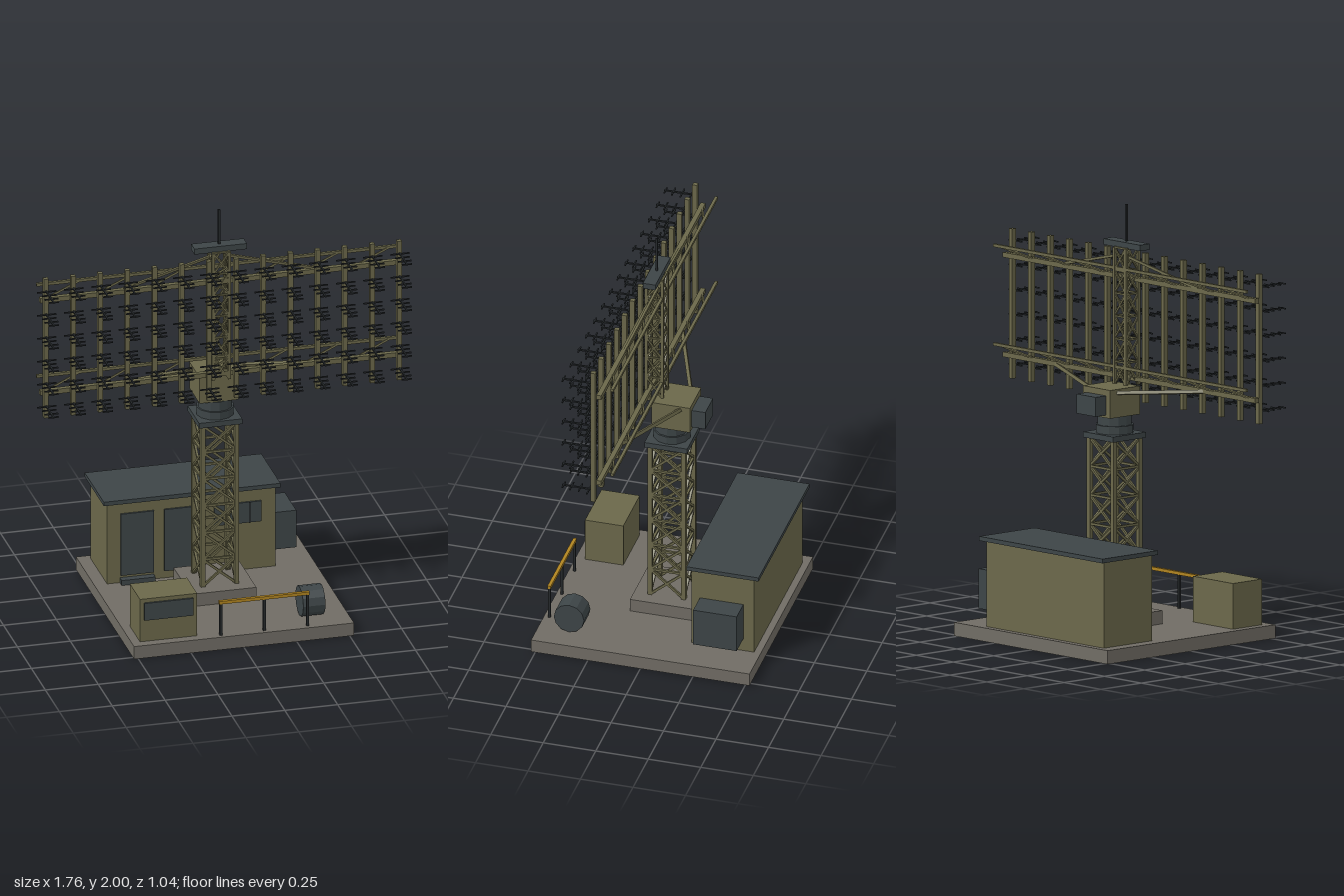
import * as THREE from 'three';
import { mergeGeometries } from 'three/addons/utils/BufferGeometryUtils.js';

const material = (name, color) => {
  const m = new THREE.MeshStandardMaterial({ color });
  m.name = name;
  return m;
};

// box given by its x, y and z ranges
function block(x0, x1, y0, y1, z0, z1) {
  return new THREE.BoxGeometry(x1 - x0, y1 - y0, z1 - z0)
    .translate((x0 + x1) / 2, (y0 + y1) / 2, (z0 + z1) / 2);
}

// square bar between two points
function bar(a, b, t) {
  const p = new THREE.Vector3(...a), q = new THREE.Vector3(...b);
  const d = q.clone().sub(p);
  const g = new THREE.BoxGeometry(t, d.length(), t);
  const turn = new THREE.Quaternion().setFromUnitVectors(new THREE.Vector3(0, 1, 0), d.normalize());
  return g.applyQuaternion(turn).translate((p.x + q.x) / 2, (p.y + q.y) / 2, (p.z + q.z) / 2);
}

// four-legged mast with horizontals and crossed braces on every side
function lattice(half, y0, y1, bays, leg, brace, cz) {
  const parts = [];
  const corners = [[-half, -half], [half, -half], [half, half], [-half, half]];
  const step = (y1 - y0) / bays;
  corners.forEach(([x, z], i) => {
    const [u, w] = corners[(i + 1) % 4];
    parts.push(bar([x, y0, z + cz], [x, y1, z + cz], leg));
    for (let k = 0; k < bays; k++) {
      const lo = y0 + k * step, hi = lo + step;
      parts.push(bar([x, lo, z + cz], [u, hi, w + cz], brace));
      parts.push(bar([u, lo, w + cz], [x, hi, z + cz], brace));
      parts.push(bar([x, hi, z + cz], [u, hi, w + cz], brace));
    }
  });
  return parts;
}

export function createModel() {
  const olive = material('olive paint', 0x6b684a);
  const slate = material('slate metal', 0x3d4547);
  const concrete = material('concrete', 0x706c64);
  const dark = material('dark steel', 0x25292b);
  const yellow = material('yellow rail', 0xb08420);

  const model = new THREE.Group();
  model.name = 'radarStation';
  const add = (name, mat, ...geos) => {
    const mesh = new THREE.Mesh(geos.length > 1 ? mergeGeometries(geos) : geos[0], mat);
    mesh.name = name;
    model.add(mesh);
  };

  // ground slab and tower footing
  add('slab', concrete, block(-0.52, 0.52, 0, 0.063, -0.52, 0.52));
  add('footing', concrete, block(-0.155, 0.155, 0.063, 0.125, -0.155, 0.155));

  // equipment shelter
  add('shelter', olive, block(-0.46, 0.335, 0.063, 0.462, -0.488, -0.19));
  add('shelterRoof', slate, block(-0.48, 0.355, 0.462, 0.482, -0.515, -0.172));
  add('shelterDoors', slate,
    block(-0.397, -0.24, 0.1, 0.408, -0.19, -0.181),
    block(-0.19, -0.035, 0.1, 0.408, -0.19, -0.181));
  add('shelterWindow', slate, block(0.045, 0.268, 0.298, 0.4, -0.19, -0.182));
  add('windowBars', dark, ...[0.1, 0.156, 0.212].map(x => block(x - 0.004, x + 0.004, 0.298, 0.4, -0.184, -0.178)));
  add('doorStep', slate, block(-0.4, -0.24, 0.063, 0.088, -0.19, -0.155));
  add('coolingUnit', slate, block(0.335, 0.445, 0.127, 0.312, -0.437, -0.23));

  // generator, fuel drum and guard rail
  add('generator', olive, block(-0.48, -0.21, 0.063, 0.275, 0.293, 0.475));
  add('generatorPanel', slate, block(-0.46, -0.23, 0.17, 0.256, 0.475, 0.484));
  const drum = new THREE.CylinderGeometry(0.072, 0.072, 0.105, 12).toNonIndexed();
  drum.computeVertexNormals();
  add('fuelDrum', slate, drum.rotateZ(Math.PI / 2).translate(0.353, 0.135, 0.373));
  add('guardRail', yellow, block(-0.112, 0.315, 0.219, 0.234, 0.486, 0.502));
  add('railPosts', dark, ...[-0.103, 0.102, 0.307].map(x => block(x - 0.006, x + 0.006, 0.063, 0.228, 0.488, 0.5)));

  // lower tower and turntable
  add('tower', olive, ...lattice(0.08, 0.125, 0.928, 6, 0.021, 0.011, 0));
  add('towerTop', slate, block(-0.102, 0.102, 0.926, 0.952, -0.102, 0.102));
  const rings = [[0.088, 0.952, 0.99], [0.08, 0.99, 1.037]].map(([r, y0, y1]) => {
    const g = new THREE.CylinderGeometry(r, r, y1 - y0, 12).toNonIndexed();
    g.computeVertexNormals();
    return g.translate(0, (y0 + y1) / 2, 0);
  });
  add('turntable', slate, ...rings);
  add('headBox', olive, block(-0.092, 0.092, 1.037, 1.168, -0.112, 0.072));
  add('driveMotor', slate, block(-0.064, 0.064, 1.05, 1.14, -0.177, -0.112));

  // upper mast with cap and rod
  const mz = 0.073;
  add('mast', olive, ...lattice(0.038, 1.165, 1.8, 6, 0.014, 0.008, mz));
  add('mastCap', slate, block(-0.124, 0.124, 1.8, 1.828, mz - 0.03, mz + 0.03));
  add('lightningRod', dark, block(-0.005, 0.005, 1.828, 2, mz - 0.005, mz + 0.005));

  // antenna frame: two horizontal trusses, top and bottom
  const frame = [];
  const bays = 7, span = 0.855, pitch = 2 * span / bays;
  for (const [yFront, yBack] of [[1.655, 1.705], [1.193, 1.247]]) {
    frame.push(bar([-span, yFront, 0.1], [span, yFront, 0.1], 0.023));
    frame.push(bar([-span, yBack, 0.037], [span, yBack, 0.037], 0.014));
    for (let i = 0; i < bays; i++) {
      const x = -span + 0.02 + i * pitch;
      frame.push(bar([x, yFront, 0.1], [x + 0.19, yBack, 0.037], 0.009));
    }
  }
  add('antennaFrame', olive, ...frame);

  // struts from head and mast to the trusses
  const struts = [];
  for (const s of [-1, 1]) {
    struts.push(bar([s * 0.085, 1.15, -0.065], [s * 0.5, 1.19, 0.095], 0.016));
    struts.push(bar([s * 0.04, 1.76, 0.055], [s * 0.47, 1.66, 0.095], 0.012));
  }
  add('struts', olive, ...struts);

  // fourteen columns carrying six small dipole arrays each
  const columns = [], dipoles = [];
  const rods = [[0.15, 0.045], [0.193, 0.034], [0.235, 0.032], [0.273, 0.024]];
  for (let i = 0; i < 14; i++) {
    const x = (i - 6.5) * 0.1285;
    columns.push(block(x - 0.011, x + 0.011, 1.08, 1.775, 0.12, 0.143));
    for (let j = 0; j < 6; j++) {
      const y = 1.14 + j * 0.115;
      dipoles.push(bar([x, y, 0.14], [x, y, 0.28], 0.007));
      for (const [z, h] of rods) dipoles.push(bar([x - h, y, z], [x + h, y, z], 0.006));
    }
  }
  add('antennaColumns', olive, ...columns);
  add('dipoles', dark, ...dipoles);

  return model;
}
